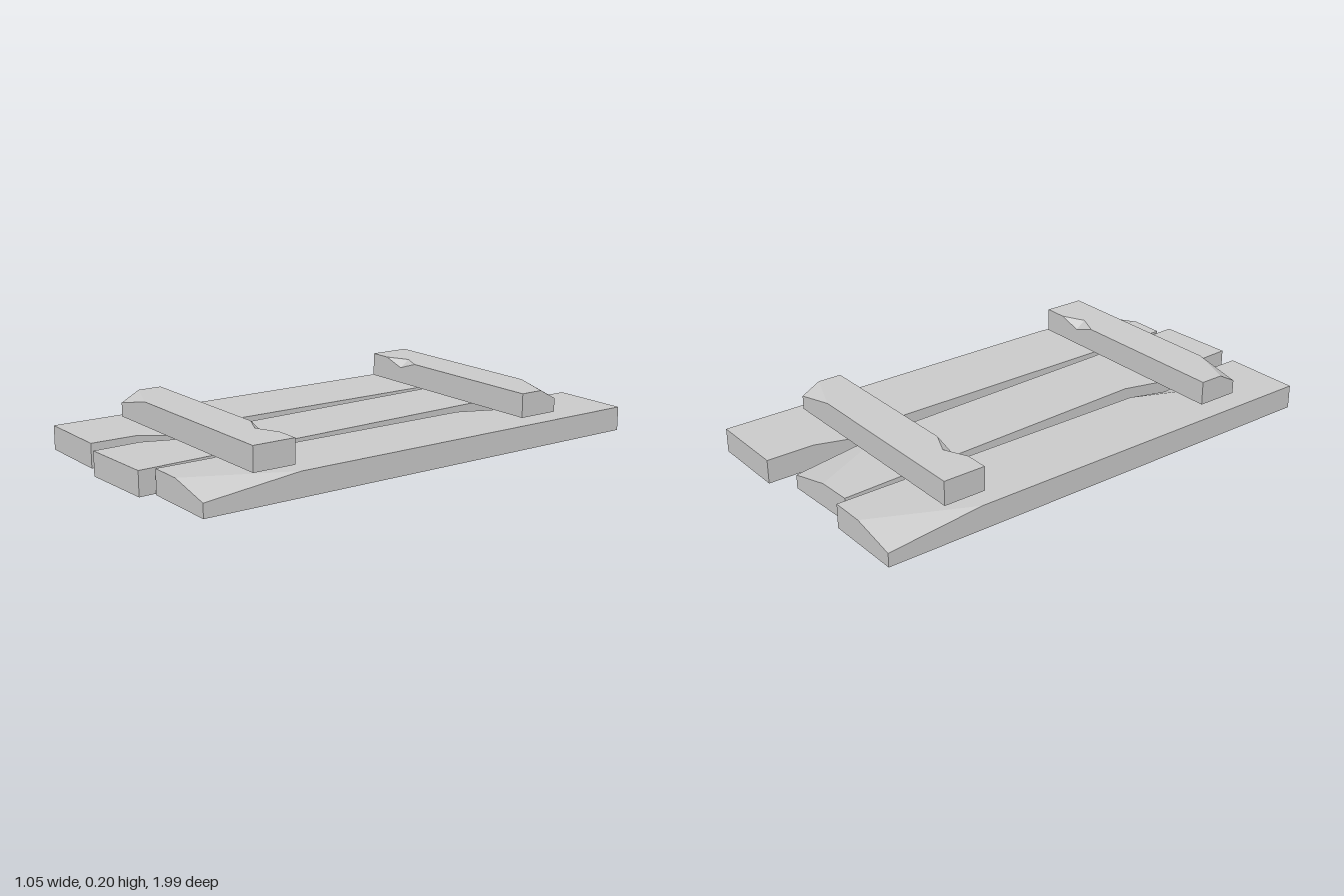
import * as THREE from 'three';

// Unit-proportioned board along x: one top corner is chipped, and the opposite
// long edge has a small notch. `across` is the chip's reach over the width.
function boardGeometry(length, height, width, across, mirrored) {
  const p = {
    A: [-0.5, 0, -0.5], B: [0.5, 0, -0.5], C: [0.5, 0, 0.5], D: [-0.5, 0, 0.5],
    a: [-0.5, 1, -0.5], b: [0.5, 1, -0.5], d: [-0.5, 1, 0.5],
    chipEnd: [0.5, 1, 0.5 - across], chipLow: [0.5, 0.57, 0.5], chipSide: [0.3, 1, 0.5],
    n1: [-0.4, 1, -0.5], n2: [-0.3, 0.68, -0.5], n3: [-0.2, 1, -0.5], m: [-0.3, 1, -0.25],
  };
  const faces = [
    'm n3 b chipEnd chipSide d a n1', // top
    'chipSide chipEnd chipLow', // chipped corner
    'm n1 n2', 'm n2 n3', // notch
    'n2 n1 a A B b n3', // notched side
    'B C chipLow chipEnd b', // chipped end
    'C D d chipSide chipLow', // chipped side
    'D A a d', // plain end
    'D C B A', // underside
  ];
  const pos = [];
  const flip = mirrored ? 1 : -1;
  const add = (k) => pos.push(p[k][0] * length, p[k][1] * height, p[k][2] * width * flip);
  for (const face of faces) {
    const c = face.split(' ');
    for (let i = 1; i < c.length - 1; i++) {
      (mirrored ? [c[0], c[i + 1], c[i]] : [c[0], c[i], c[i + 1]]).forEach(add);
    }
  }
  const geometry = new THREE.BufferGeometry();
  geometry.setAttribute('position', new THREE.Float32BufferAttribute(pos, 3));
  geometry.computeVertexNormals();
  return geometry;
}

export function createModel() {
  const group = new THREE.Group();
  group.name = 'plankPanel';
  const wood = new THREE.MeshStandardMaterial({ color: 0xcccccc });
  wood.name = 'paleGrey';

  const plank = boardGeometry(1.92, 0.095, 0.316, 0.57, false);
  const middle = boardGeometry(1.917, 0.095, 0.313, 0.57, true);
  const bar = boardGeometry(0.94, 0.095, 0.17, 0.44, false);

  const place = (name, geometry, x, y, z, turn) => {
    const mesh = new THREE.Mesh(geometry, wood);
    mesh.name = name;
    mesh.position.set(x, y, z);
    mesh.rotation.y = turn;
    group.add(mesh);
  };

  // Long planks, the middle one slightly askew
  place('leftPlank', plank, 0.367, 0, -0.04, -Math.PI / 2);
  place('rightPlank', plank, -0.37, 0, -0.005, Math.PI / 2);
  place('middlePlank', middle, 0, 0, 0.028, Math.PI / 2 + 0.042);

  // Cross bars lying just above the planks
  place('backBar', bar, 0, 0.109, -0.612, 0);
  place('frontBar', bar, 0.019, 0.109, 0.62, Math.PI);
  return group;
}
